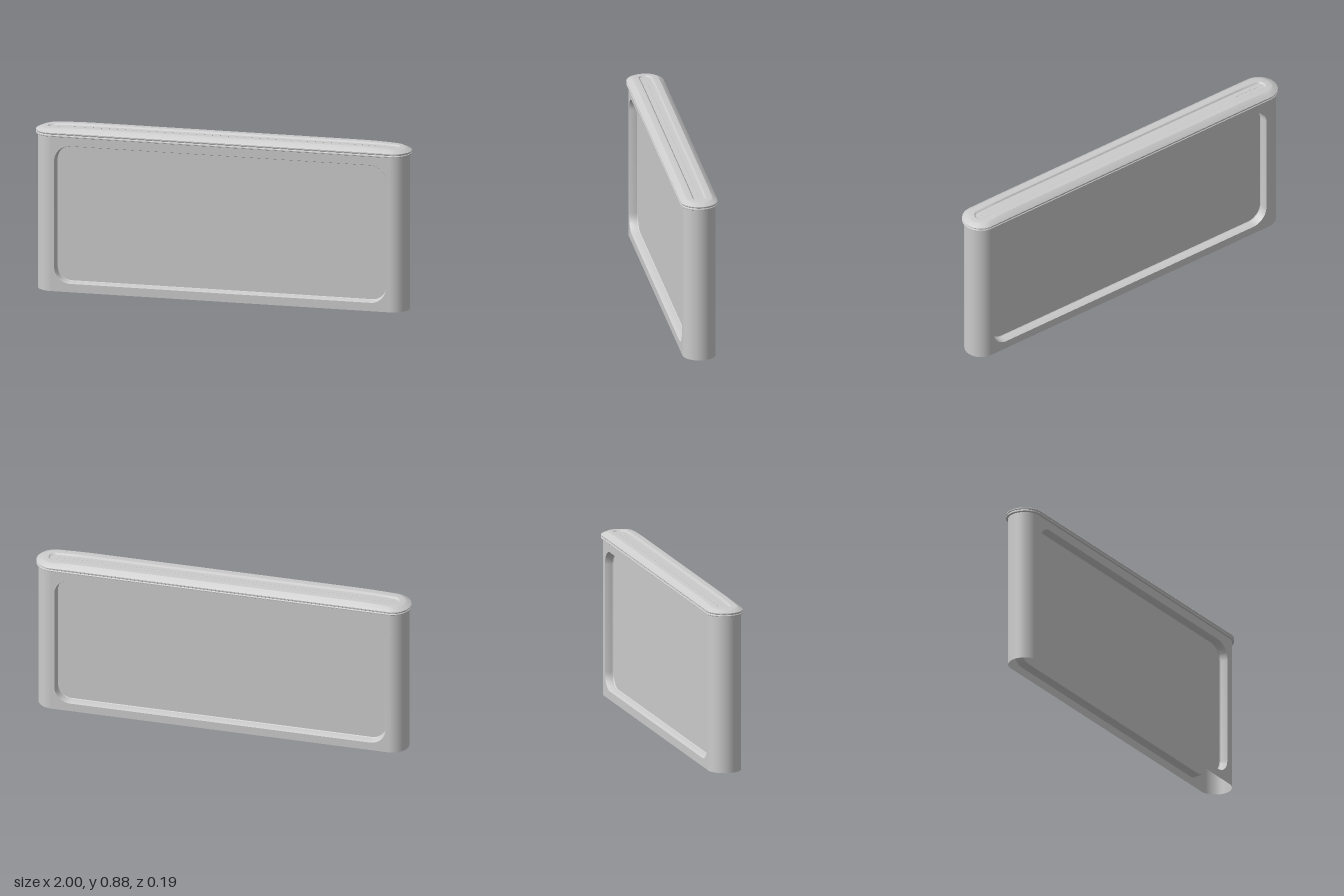
import * as THREE from 'three';
import { toCreasedNormals } from 'three/addons/utils/BufferGeometryUtils.js';

const HALF = 0.903;   // half length of the straight sides
const R = 0.0865;     // radius of the body ends
const BODY_H = 0.835;

const material = new THREE.MeshStandardMaterial({ color: 0xcccccc, side: THREE.DoubleSide });

function add(parent, name, geometry) {
  const mesh = new THREE.Mesh(geometry, material);
  mesh.name = name;
  parent.add(mesh);
  return mesh;
}

// Skin closed rings of Vector3 that all have the same number of points
function loft(rings, crease) {
  const n = rings[0].length;
  const positions = rings.flat().flatMap((p) => [p.x, p.y, p.z]);
  const index = [];
  for (let i = 0; i < rings.length - 1; i++) {
    for (let j = 0; j < n; j++) {
      const k = (j + 1) % n;
      const a = i * n + j, b = i * n + k, c = a + n, d = b + n;
      index.push(a, b, d, a, d, c);
    }
  }
  const geometry = new THREE.BufferGeometry();
  geometry.setAttribute('position', new THREE.Float32BufferAttribute(positions, 3));
  geometry.setIndex(index);
  return toCreasedNormals(geometry, crease);
}

// Rounded rectangle outline, counter-clockwise
function roundedRect(w, h, r, cy) {
  const points = [];
  [[1, 1], [-1, 1], [-1, -1], [1, -1]].forEach(([sx, sy], q) => {
    for (let i = 0; i <= 12; i++) {
      const a = (q + i / 12) * Math.PI / 2;
      points.push(new THREE.Vector2(sx * (w - r) + r * Math.cos(a), cy + sy * (h - r) + r * Math.sin(a)));
    }
  });
  return points;
}

// Pill outline with extra points along the straights so it can be arched
function pill(r, y, arch) {
  const flat = [];
  const ends = 24, straight = 32;
  for (const side of [1, -1]) {
    for (let i = 0; i <= ends; i++) {
      const a = -Math.PI / 2 + Math.PI * i / ends;
      flat.push([side * (HALF + r * Math.cos(a)), -side * r * Math.sin(a)]);
    }
    for (let i = 1; i < straight; i++) flat.push([side * HALF * (1 - 2 * i / straight), -side * r]);
  }
  return flat.map(([x, z]) => {
    const t = Math.max(0, (Math.abs(x) - 0.7) / 0.3);
    return new THREE.Vector3(x, y - arch * t * t, z);
  });
}

// One long side: flat wall with an opening, recess walls and sunken panel
function createSide() {
  const side = new THREE.Group();
  const opening = (inset) => roundedRect(0.885 - inset, 0.37 - inset, 0.085 - inset, 0.415);

  const wall = new THREE.Shape([[-HALF, 0], [HALF, 0], [HALF, BODY_H], [-HALF, BODY_H]]
    .map(([x, y]) => new THREE.Vector2(x, y)));
  wall.holes.push(new THREE.Path(opening(0)));
  add(side, 'sideWall', new THREE.ShapeGeometry(wall).translate(0, 0, R));

  const profile = [[0, R], [0.002, 0.083], [0.005, 0.046], [0.008, 0.0415]];
  const rings = profile.map(([inset, z]) => opening(inset).map((p) => new THREE.Vector3(p.x, p.y, z)));
  add(side, 'recessWall', loft(rings, 0.5));

  const panel = new THREE.ShapeGeometry(new THREE.Shape(opening(0.008)));
  add(side, 'recessedPanel', panel.translate(0, 0, 0.0415));
  return side;
}

export function createModel() {
  const model = new THREE.Group();
  model.name = 'container';

  // Hollow body, open underneath
  const body = new THREE.Group();
  body.name = 'body';
  model.add(body);
  for (const [name, turn] of [['front', 0], ['back', Math.PI]]) {
    const side = createSide();
    side.name = name + 'Side';
    side.rotation.y = turn;
    body.add(side);
  }
  for (const [name, s] of [['left', 1], ['right', -1]]) {
    const end = new THREE.CylinderGeometry(R, R, BODY_H, 32, 1, true, s > 0 ? 0 : Math.PI, Math.PI);
    add(body, name + 'End', end.translate(s * HALF, BODY_H / 2, 0));
  }

  // Lid: radius, height and how much the section dips toward the ends
  const lidProfile = [
    [0.085, 0.832, 0], [0.095, 0.832, 0], [0.0975, 0.834, 0], [0.0975, 0.839, 0],
    [0.094, 0.842, 0], [0.094, 0.845, 0], [0.0975, 0.848, 0], [0.0975, 0.854, 0.002],
    [0.093, 0.859, 0.004], [0.074, 0.872, 0.011], [0.068, 0.8765, 0.013], [0.063, 0.877, 0.013],
    [0.036, 0.877, 0.013], [0.032, 0.875, 0.013], [0.027, 0.868, 0.01], [0.0005, 0.868, 0.01],
  ];
  add(model, 'lid', loft(lidProfile.map(([r, y, arch]) => pill(r, y, arch)), 0.45));

  return model;
}
